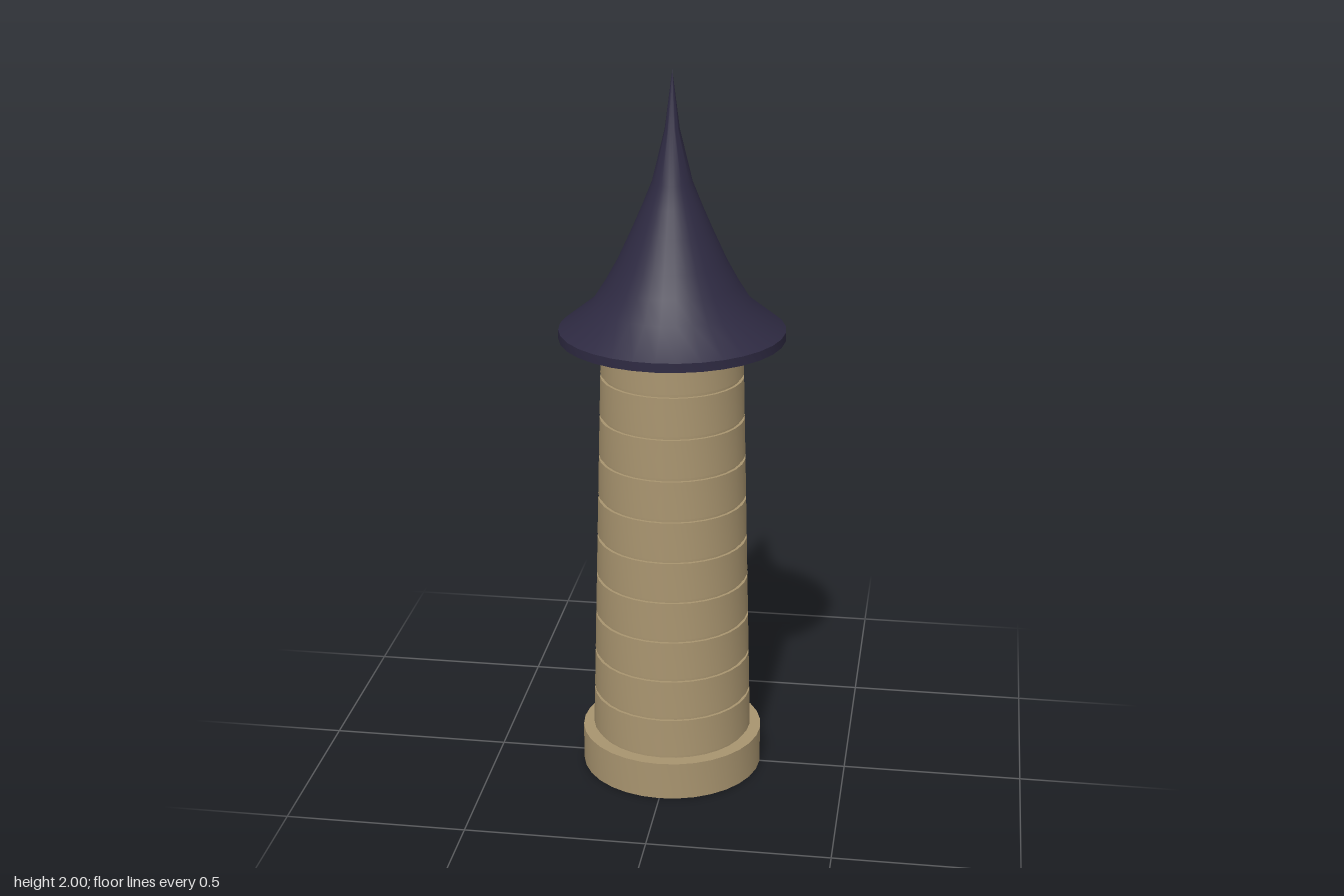
import * as THREE from 'three';
import { toCreasedNormals } from 'three/addons/utils/BufferGeometryUtils.js';

const SIDES = 32, STEP = Math.PI * 2 / SIDES;
const stone = new THREE.MeshStandardMaterial({ color: 0xa8946f });
const slate = new THREE.MeshStandardMaterial({ color: 0x2e2a42 });
const dark = new THREE.MeshStandardMaterial({ color: 0x40321f });

// Revolved part with sharp edges; starts at side number `first` and spans `count` sides
function turned(name, points, material, first = 0, count = SIDES) {
  const profile = points.map(([r, y]) => new THREE.Vector2(r, y));
  const lathe = new THREE.LatheGeometry(profile, count, first * STEP, count * STEP);
  const mesh = new THREE.Mesh(toCreasedNormals(lathe, 0.6), material);
  mesh.name = name;
  return mesh;
}

// Box pushed out from the axis along the heading of a side number
function radialBox(name, size, side, radius, y) {
  const mesh = new THREE.Mesh(new THREE.BoxGeometry(...size), dark);
  mesh.name = name;
  mesh.rotation.y = side * STEP;
  mesh.position.set(Math.sin(side * STEP) * radius, y, Math.cos(side * STEP) * radius);
  return mesh;
}

export function createModel() {
  const tower = new THREE.Group();
  tower.name = 'tower';

  // Plinth
  const baseTop = 0.108;
  tower.add(turned('base', [[0, 0], [0.255, 0], [0.255, baseTop], [0, baseTop]], stone));

  // Tapering shaft: ten stone courses, each above a narrow groove
  const pitch = 0.1175, groove = 0.01, wall = 0.055;
  const radiusAt = y => 0.225 - 0.032 * (y - baseTop) / (10 * pitch);
  const windows = { 5: 24, 7: 21 }; // course number: side number

  for (let i = 0; i < 10; i++) {
    const y0 = baseTop + i * pitch, y1 = y0 + groove, y2 = y0 + pitch;
    const r0 = radiusAt(y0), r1 = radiusAt(y1), r2 = radiusAt(y2);
    const inner = r2 - wall, rg = r0 - 0.008;
    const side = windows[i];
    const hasWindow = side !== undefined;

    tower.add(turned('groove', [[inner, y0], [rg, y0], [rg, y1], [inner, y1], [inner, y0]], stone));
    tower.add(turned('stoneCourse',
      [[inner, y1], [r1, y1], [r2, y2], [inner, y2], [inner, y1]], stone,
      hasWindow ? side + 1 : 0, hasWindow ? SIDES - 2 : SIDES));

    // Recessed window filling the gap in its course
    if (hasWindow) {
      const niche = new THREE.Group();
      niche.name = 'window';
      const h = y2 - y1, y = (y1 + y2) / 2;
      niche.add(radialBox('windowBack', [0.075, h, 0.006], side, inner, y));
      for (const s of [-1, 1]) {
        niche.add(radialBox('windowJamb', [0.004, h, wall], side + s, r2 - wall / 2 - 0.001, y));
      }
      tower.add(niche);
    }
  }

  // Flared, closed spire roof
  tower.add(turned('roof', [
    [0, 1.275], [0.308, 1.275], [0.308, 1.3], [0.217, 1.372], [0.18, 1.43], [0.147, 1.49],
    [0.108, 1.575], [0.08, 1.64], [0.054, 1.705], [0.02, 1.845], [0, 2],
  ], slate));

  return tower;
}
